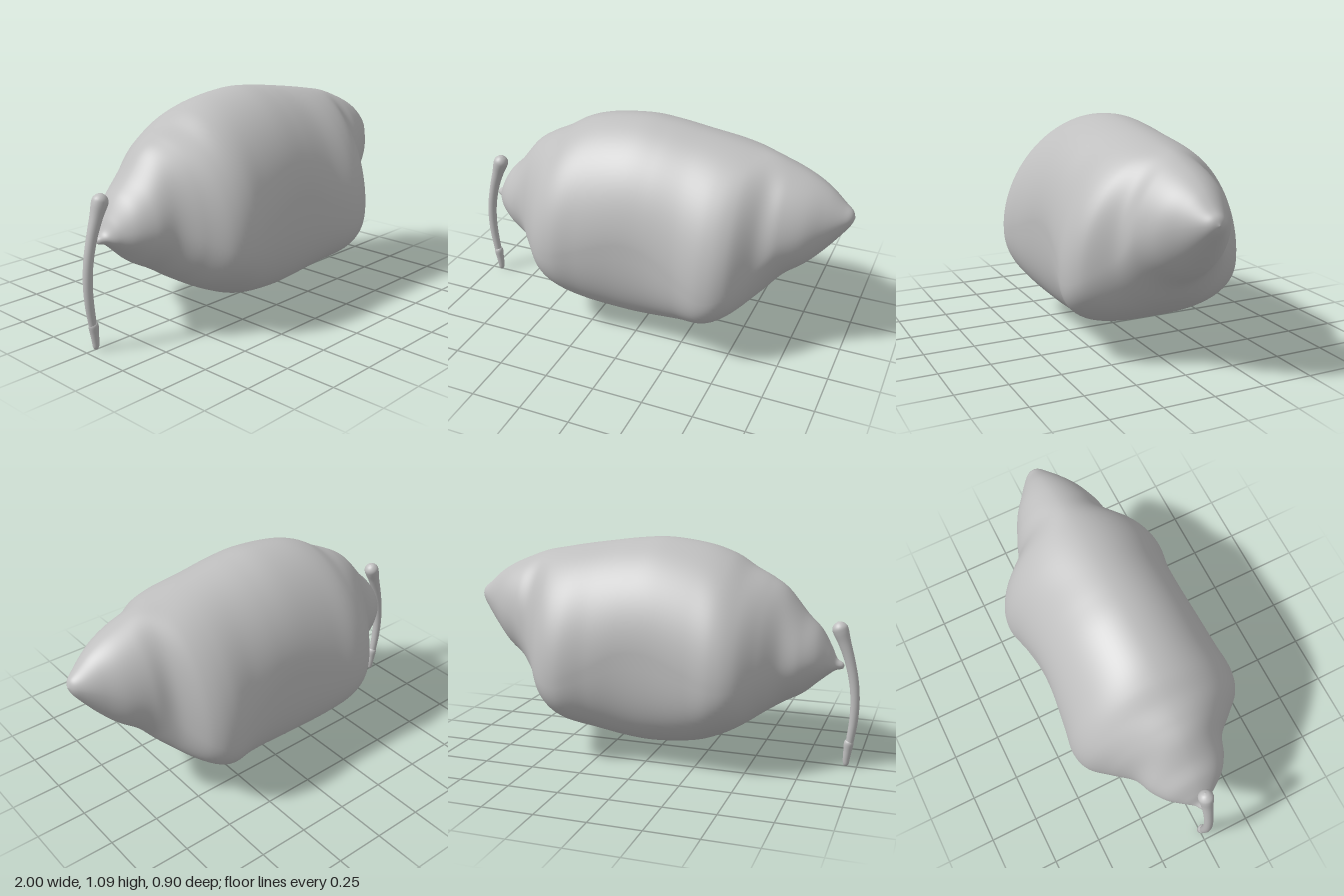
import * as THREE from 'three';

const V = (a, b, c) => new THREE.Vector3(a, b, c);
const spline = (points) => new THREE.CatmullRomCurve3(points, false, 'catmullrom', 0.5);

// Skin a smooth closed surface over rings given by point(t, angle)
function loft(point, rows, cols) {
  const pos = [], idx = [];
  for (let i = 0; i <= rows; i++) {
    for (let j = 0; j < cols; j++) {
      pos.push(...point(i / rows, (j / cols) * Math.PI * 2));
      if (i === rows) continue;
      const k = (j + 1) % cols, a = i * cols + j, b = i * cols + k;
      idx.push(a, a + cols, b, b, a + cols, b + cols);
    }
  }
  const g = new THREE.BufferGeometry();
  g.setAttribute('position', new THREE.Float32BufferAttribute(pos, 3));
  g.setIndex(idx);
  g.computeVertexNormals();
  return g;
}

// Body stations: x, top, bottom, half width, height of widest point, squareness of underside
const stations = [
  [-0.918, 0.505, 0.505, 0, 0.505, 2],
  [-0.91, 0.52, 0.49, 0.016, 0.505, 2],
  [-0.88, 0.54, 0.482, 0.04, 0.51, 2],
  [-0.85, 0.6, 0.462, 0.085, 0.525, 2],
  [-0.8, 0.68, 0.42, 0.15, 0.54, 2],
  [-0.73, 0.75, 0.36, 0.2, 0.54, 2],
  [-0.64, 0.86, 0.31, 0.24, 0.53, 2.1],
  [-0.56, 0.915, 0.262, 0.325, 0.5, 2.2],
  [-0.47, 0.96, 0.205, 0.415, 0.47, 2.4],
  [-0.37, 1.02, 0.15, 0.445, 0.47, 2.5],
  [-0.24, 1.062, 0.102, 0.428, 0.51, 2.7],
  [-0.05, 1.086, 0.076, 0.405, 0.58, 2.9],
  [0.1, 1.078, 0.082, 0.402, 0.57, 2.9],
  [0.25, 1.058, 0.115, 0.42, 0.49, 2.8],
  [0.4, 1.035, 0.165, 0.45, 0.43, 2.8],
  [0.51, 1.015, 0.225, 0.41, 0.45, 2.5],
  [0.61, 0.995, 0.305, 0.285, 0.54, 2.2],
  [0.7, 0.963, 0.405, 0.235, 0.65, 2],
  [0.8, 0.92, 0.485, 0.185, 0.69, 2],
  [0.88, 0.872, 0.57, 0.125, 0.72, 2],
  [0.95, 0.812, 0.66, 0.07, 0.74, 2],
  [0.985, 0.783, 0.712, 0.036, 0.748, 2],
  [1.0, 0.75, 0.75, 0, 0.75, 2],
];

function bodyGeometry() {
  const outline = spline(stations.map(([x, top, low]) => V(x, top, low)));
  const girth = spline(stations.map((s) => V(s[3], s[4], s[5])));
  return loft((t, angle) => {
    const o = outline.getPoint(t), g = girth.getPoint(t);
    const c = Math.cos(angle), s = Math.sin(angle);
    const e = 2 / (s >= 0 ? 1.88 : g.z);
    const height = s >= 0 ? o.y - g.y : g.y - o.z;
    return [
      o.x,
      g.y + Math.sign(s) * Math.abs(s) ** e * height,
      Math.sign(c) * Math.abs(c) ** e * g.x,
    ];
  }, 176, 96);
}

// Round strand in the xy plane; each station is x, y, radius
function strandGeometry(list) {
  const path = spline(list.map(([x, y, r]) => V(x, y, r)));
  return loft((t, angle) => {
    const p = path.getPoint(t);
    const a = path.getPoint(Math.max(0, t - 0.01)), b = path.getPoint(Math.min(1, t + 0.01));
    const d = new THREE.Vector2(b.x - a.x, b.y - a.y).normalize();
    const r = Math.max(0, p.z), s = Math.sin(angle) * r;
    return [p.x - d.y * s, p.y + d.x * s, Math.cos(angle) * r];
  }, list.length * 6, 24);
}

export function createModel() {
  const group = new THREE.Group();
  const grey = new THREE.MeshStandardMaterial({ color: 0xbfbfbf });
  grey.name = 'plain grey';

  const add = (name, geometry) => {
    const mesh = new THREE.Mesh(geometry, grey);
    mesh.name = name;
    group.add(mesh);
  };

  add('body', bodyGeometry());

  // Hanging tail with a rounded upper end
  add('tail', strandGeometry([
    [-0.876, 0.717, 0], [-0.879, 0.71, 0.021], [-0.886, 0.692, 0.036], [-0.896, 0.667, 0.037],
    [-0.915, 0.615, 0.03], [-0.943, 0.53, 0.025], [-0.966, 0.43, 0.023], [-0.976, 0.33, 0.022],
    [-0.973, 0.23, 0.021], [-0.962, 0.14, 0.019], [-0.957, 0.1, 0.016], [-0.956, 0.095, 0],
  ]));

  // Small tapered tip at the lower end
  add('tailTip', strandGeometry([
    [-0.96, 0.135, 0], [-0.959, 0.132, 0.016], [-0.956, 0.118, 0.023], [-0.952, 0.08, 0.02],
    [-0.948, 0.04, 0.017], [-0.947, 0.014, 0.014], [-0.946, 0.003, 0.008], [-0.946, 0, 0],
  ]));

  return group;
}
